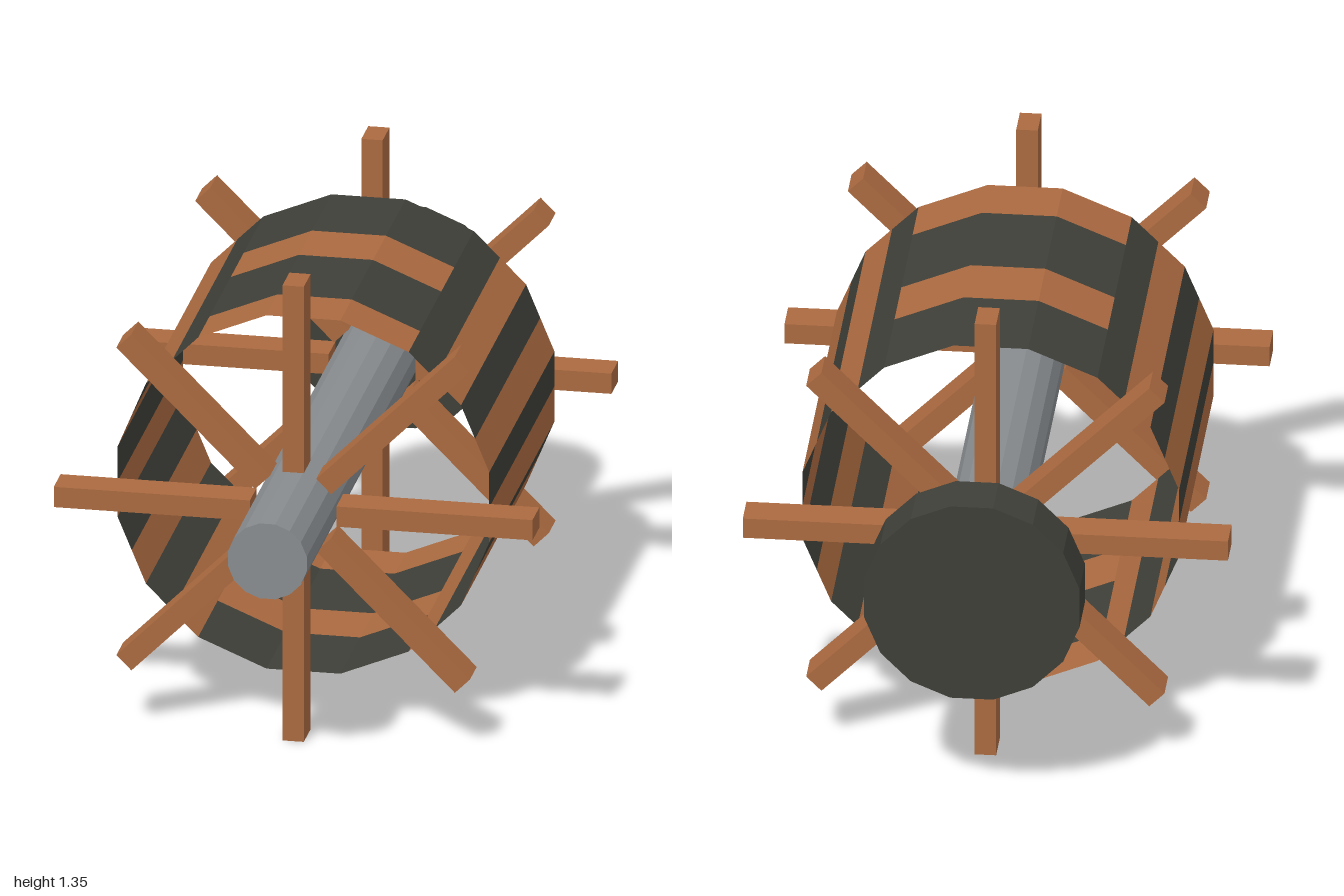
import * as THREE from 'three';
import { mergeGeometries } from 'three/addons/utils/BufferGeometryUtils.js';

const SIDES = 16;
const STEP = (Math.PI * 2) / SIDES;
const APOTHEM = 0.524;                              // drum centre to flat facet
const FACET = 2 * APOTHEM * Math.tan(STEP / 2);     // facet width
const HALF = 0.475;                                 // half drum length

export function createModel() {
  const model = new THREE.Group();
  model.name = 'spokedDrum';

  const wood = new THREE.MeshStandardMaterial({ name: 'brown wood', color: 0xab6a40 });
  const dark = new THREE.MeshStandardMaterial({ name: 'dark charcoal', color: 0x3e3f38 });
  const steel = new THREE.MeshStandardMaterial({ name: 'grey steel', color: 0x888c8f });
  for (const m of [wood, dark, steel]) m.flatShading = true;
  wood.side = dark.side = THREE.DoubleSide;

  const add = (name, geometry, material, parent = model) => {
    const mesh = new THREE.Mesh(geometry, material);
    mesh.name = name;
    parent.add(mesh);
    return mesh;
  };

  // Everything turns about one axis along z
  const wheel = new THREE.Group();
  wheel.name = 'rotor';
  wheel.position.y = 0.675;
  model.add(wheel);

  // Faceted rod along z, with a flat facet on top
  const rod = (apothem, z0, z1) => {
    const r = apothem / Math.cos(STEP / 2);
    return new THREE.CylinderGeometry(r, r, z1 - z0, SIDES, 1, false, STEP / 2)
      .rotateX(Math.PI / 2)
      .translate(0, 0, (z0 + z1) / 2);
  };
  add('shaft', rod(0.111, -0.995, 1), steel, wheel);
  add('endDisc', rod(0.3, -1, -0.85), dark, wheel);

  // Thin open drum, collected panel by panel for each colour
  const panels = { wood: [], dark: [] };
  const panel = (colour, angle, x0, x1, z0, z1) => {
    panels[colour].push(
      new THREE.PlaneGeometry(x1 - x0, z1 - z0)
        .rotateX(-Math.PI / 2)
        .translate((x0 + x1) / 2, APOTHEM, (z0 + z1) / 2)
        .rotateZ(-angle)
    );
  };

  // Top and bottom: staggered bands around the drum
  const bands = [-HALF, -0.19, 0, 0.31, HALF];
  for (let k = -1; k <= 1; k++) {
    for (let i = 0; i < 4; i++) {
      const colour = i % 2 ? 'wood' : 'dark';
      panel(colour, k * STEP, -FACET / 2, FACET / 2, bands[i], bands[i + 1]);
      panel(colour, Math.PI + k * STEP, -FACET / 2, FACET / 2, -bands[i + 1], -bands[i]);
    }
  }

  // Sides: each facet is half dark above and half wood below
  for (const side of [-1, 1]) {
    for (let k = 2; k <= 6; k++) {
      const right = side > 0;
      panel(right ? 'dark' : 'wood', side * k * STEP, -FACET / 2, 0, -HALF, HALF);
      panel(right ? 'wood' : 'dark', side * k * STEP, 0, FACET / 2, -HALF, HALF);
    }
  }
  add('drumWoodSlats', mergeGeometries(panels.wood), wood, wheel);
  add('drumDarkSlats', mergeGeometries(panels.dark), dark, wheel);

  // A ring of eight spokes at each end of the drum
  const INNER = 0.122, OUTER = 0.675;
  const spoke = new THREE.BoxGeometry(0.06, OUTER - INNER, 0.1).translate(0, (INNER + OUTER) / 2, 0);
  for (const z of [-0.575, 0.575]) {
    const ring = new THREE.Group();
    ring.name = z > 0 ? 'frontSpokes' : 'backSpokes';
    ring.position.z = z;
    wheel.add(ring);
    for (let i = 0; i < 8; i++) add('spoke', spoke, wood, ring).rotation.z = (i * Math.PI) / 4;
  }

  return model;
}
